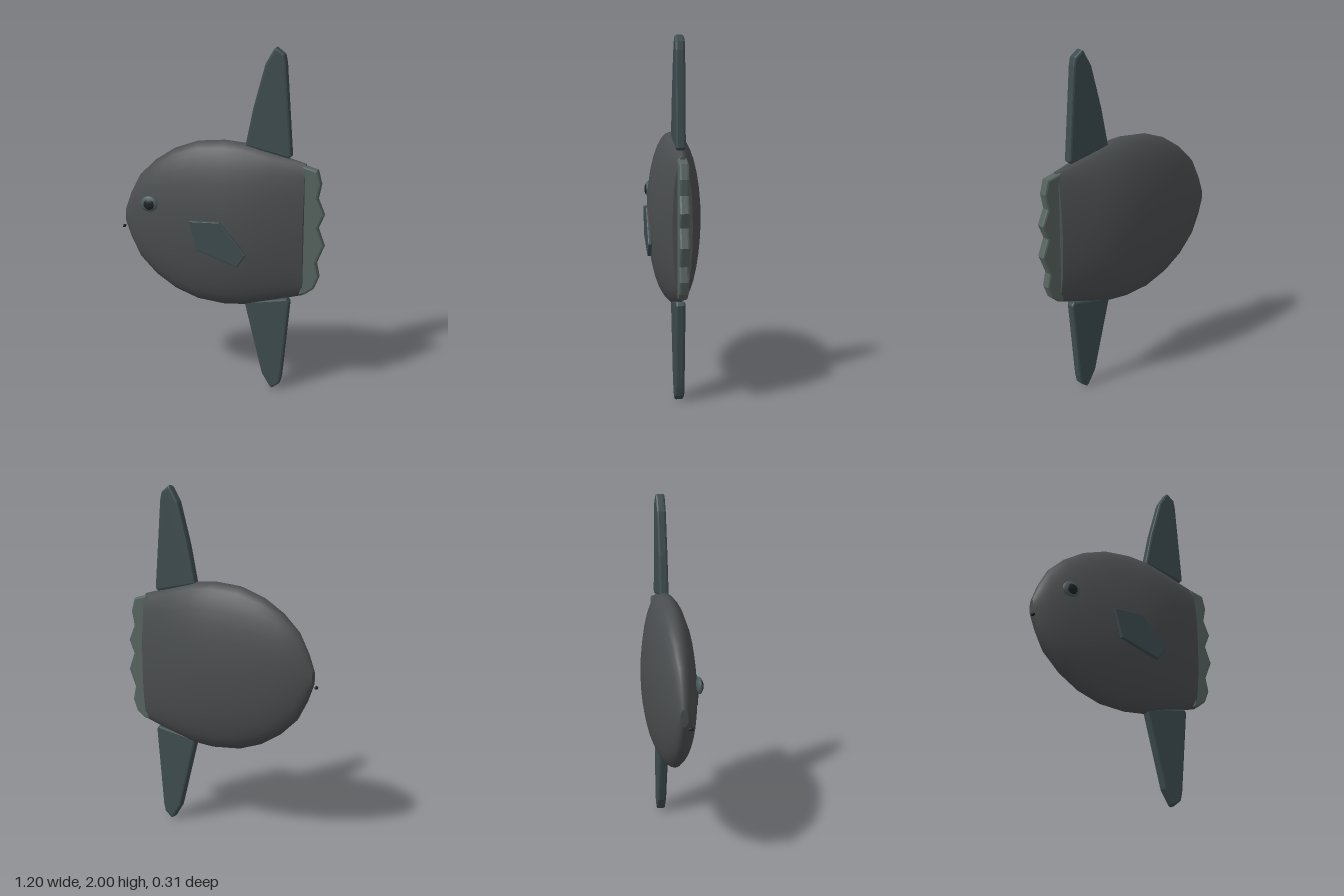
import * as THREE from 'three';

const MID_Y = 0.985, MID_Z = -0.008;

const paint = (color) => new THREE.MeshStandardMaterial({ color, roughness: 0.8 });

// Deep, narrow body: elliptical sections [x, half height, half width] with flat end caps
function bodyGeometry() {
  const sections = [
    [-0.59, 0.05, 0.022], [-0.557, 0.14, 0.042], [-0.5, 0.25, 0.068], [-0.4, 0.348, 0.1],
    [-0.28, 0.425, 0.121], [-0.14, 0.475, 0.139], [0.02, 0.49, 0.147], [0.14, 0.48, 0.142],
    [0.29, 0.44, 0.118], [0.485, 0.385, 0.054],
  ];
  const sides = 32, pos = [], index = [];
  const addRing = ([x, h, w]) => {
    const start = pos.length / 3;
    for (let i = 0; i < sides; i++) {
      const a = (i / sides) * Math.PI * 2;
      pos.push(x, MID_Y + h * Math.cos(a), MID_Z + w * Math.sin(a));
    }
    return start;
  };
  const starts = sections.map(addRing);
  for (let s = 0; s < starts.length - 1; s++) {
    for (let i = 0; i < sides; i++) {
      const j = (i + 1) % sides;
      const a = starts[s] + i, b = starts[s] + j, c = starts[s + 1] + i, d = starts[s + 1] + j;
      index.push(a, b, c, b, d, c);
    }
  }
  // Caps have their own rings so their edges stay sharp
  for (const [section, front] of [[sections[0], true], [sections.at(-1), false]]) {
    const start = addRing(section);
    const centre = pos.length / 3;
    pos.push(section[0], MID_Y, MID_Z);
    for (let i = 0; i < sides; i++) {
      const a = start + i, b = start + ((i + 1) % sides);
      if (front) index.push(centre, b, a);
      else index.push(centre, a, b);
    }
  }
  const geometry = new THREE.BufferGeometry();
  geometry.setAttribute('position', new THREE.Float32BufferAttribute(pos, 3));
  geometry.setIndex(index);
  geometry.computeVertexNormals();
  return geometry;
}

// Bevelled plate cut from an outline in the xy plane, centred on depth z
function plate(name, outline, z, thickness, bevel, material) {
  const shape = new THREE.Shape(outline.map(([x, y]) => new THREE.Vector2(x, y)));
  const geometry = new THREE.ExtrudeGeometry(shape, {
    depth: thickness - 2 * bevel, bevelEnabled: true, bevelThickness: bevel,
    bevelSize: bevel, bevelOffset: -bevel, bevelSegments: 2,
  });
  geometry.translate(0, 0, z - thickness / 2 + bevel);
  const mesh = new THREE.Mesh(geometry, material);
  mesh.name = name;
  return mesh;
}

function ellipsoid(name, centre, radii, material) {
  const mesh = new THREE.Mesh(new THREE.SphereGeometry(1, 24, 16), material);
  mesh.name = name;
  mesh.position.set(...centre);
  mesh.scale.set(...radii);
  return mesh;
}

export function createModel() {
  const fish = new THREE.Group();
  fish.name = 'sunfish';
  const skin = paint(0x4a4d4f), fin = paint(0x3d4b4e), tail = paint(0x56635f);
  const iris = paint(0x4c5a5c), dark = paint(0x1c2226);

  const body = new THREE.Mesh(bodyGeometry(), skin);
  body.name = 'body';
  fish.add(body);

  // Tall fins above and below
  fish.add(plate('dorsalFin', [
    [0.14, 1.45], [0.39, 1.395], [0.406, 1.41], [0.367, 1.92], [0.357, 1.965],
    [0.31, 2.0], [0.298, 1.992], [0.25, 1.91], [0.185, 1.67],
  ], MID_Z, 0.054, 0.012, fin));
  fish.add(plate('analFin', [
    [0.14, 0.53], [0.19, 0.33], [0.25, 0.09], [0.3, 0.008], [0.314, 0],
    [0.358, 0.035], [0.369, 0.085], [0.41, 0.555], [0.395, 0.575],
  ], MID_Z, 0.054, 0.012, fin));

  // Scalloped rudder in place of a tail
  fish.add(plate('tailFin', [
    [0.465, 0.605], [0.5, 0.612], [0.548, 0.65], [0.575, 0.72], [0.558, 0.8], [0.6, 0.905],
    [0.563, 1.005], [0.596, 1.085], [0.558, 1.175], [0.575, 1.26], [0.553, 1.34], [0.465, 1.362],
  ], MID_Z, 0.054, 0.012, tail));

  // Side fin, eye and mouth on the front face only
  fish.add(plate('pectoralFin', [
    [-0.152, 1.028], [-0.105, 0.858], [0.135, 0.78], [0.186, 0.855], [0.03, 1.036],
  ], 0.139, 0.022, 0.006, fin));
  fish.add(ellipsoid('eye', [-0.405, 1.095, 0.102], [0.052, 0.046, 0.017], iris));
  fish.add(ellipsoid('pupil', [-0.403, 1.093, 0.112], [0.033, 0.031, 0.012], dark));
  fish.add(ellipsoid('mouth', [-0.594, 0.925, 0.026], [0.01, 0.009, 0.016], dark));

  return fish;
}
